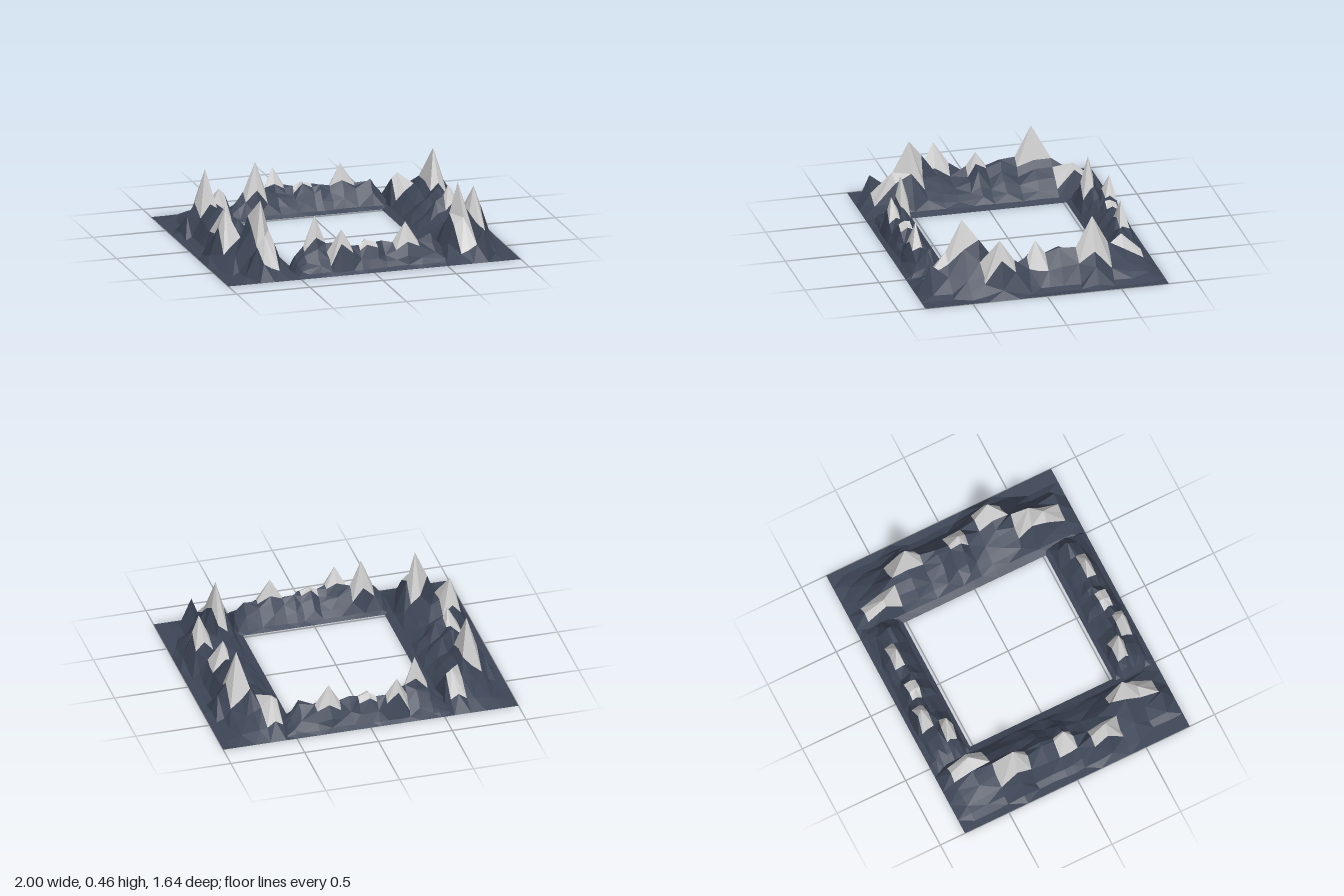
import * as THREE from 'three';

const rock = new THREE.MeshStandardMaterial({ color: 0x3e4657, flatShading: true, side: THREE.DoubleSide });
const pale = new THREE.MeshStandardMaterial({ color: 0xcccccc, flatShading: true, side: THREE.DoubleSide });

// Repeatable noise in -1..1 for a grid point
const noise = (i, j) => {
  const s = Math.sin(i * 12.99 + j * 78.23) * 43758.5;
  return (s - Math.floor(s)) * 2 - 1;
};

const nearest = (list, v) =>
  list.reduce((best, a, i) => (Math.abs(a - v) < Math.abs(list[best] - v) ? i : best), 0);

// Faceted range: each section is [along, centre, outer foot, crest, shoulder, capped].
// The crest falls to a shoulder, then to the foot on each side; flat aprons lie beyond.
// place() turns (across, height, along) into x, y, z; flip keeps faces pointing up.
function range(name, { across, inner, halfWidth, sections }, place, flip) {
  const na = across.length - 1, nl = sections.length - 1;
  const crestAt = sections.map(s => nearest(across, s[1]));
  const capped = (i, j) => sections[j][5] && crestAt[j] === i;

  const point = (i, j) => {
    const [along, centre, outer, crest, shoulder] = sections[j];
    const a = across[i];
    if (i === 0 || i === na || j === 0 || j === nl) return place(a, 0, along);
    if (i === crestAt[j]) return place(centre, crest, along);
    const d = Math.abs(a - centre);
    const reach = Math.abs((a < centre ? inner : outer) - centre);
    let y = 0;
    if (d <= halfWidth) {
      y = THREE.MathUtils.lerp(crest, shoulder, Math.min(1, d / (halfWidth * 0.85)));
    } else if (d < reach + 0.002) {
      y = THREE.MathUtils.lerp(shoulder, 0.02, (d - halfWidth) / (reach - halfWidth));
    }
    y *= 1 + 0.12 * noise(i, j);
    return place(a + 0.006 * noise(j + 5, i), y, along + 0.006 * noise(i + 9, j + 3));
  };

  const slopes = [], caps = [];
  for (let i = 0; i < na; i++) {
    for (let j = 0; j < nl; j++) {
      const corners = [[i, j], [i, j + 1], [i + 1, j + 1], [i + 1, j]];
      const top = corners.findIndex(c => capped(...c));
      // Split each cell from its peak corner so that summits stay sharp
      const s = top >= 0 ? top : (i + j) % 2;
      const [a, b, c, d] = [0, 1, 2, 3].map(k => point(...corners[(s + k) % 4]));
      const order = flip ? [a, c, b, a, d, c] : [a, b, c, a, c, d];
      for (const p of order) (top >= 0 ? caps : slopes).push(...p);
    }
  }

  const group = new THREE.Group();
  group.name = name;
  for (const [part, list, mat] of [['Slopes', slopes, rock], ['Caps', caps, pale]]) {
    const geo = new THREE.BufferGeometry();
    geo.setAttribute('position', new THREE.Float32BufferAttribute(list, 3));
    geo.computeVertexNormals();
    const mesh = new THREE.Mesh(geo, mat);
    mesh.name = name + part;
    group.add(mesh);
  }
  return group;
}

// Broad range along each side, from back to front
const side = {
  across: [0.48, 0.53, 0.57, 0.62, 0.68, 0.73, 0.78, 0.85, 0.9, 0.95, 1],
  inner: 0.53,
  halfWidth: 0.06,
  sections: [
    [-0.82, 0.62, 0.9, 0, 0, 0],
    [-0.73, 0.62, 0.9, 0.1, 0.07, 0],
    [-0.6, 0.61, 0.9, 0.22, 0.16, 1],
    [-0.48, 0.72, 0.9, 0.22, 0.16, 0],
    [-0.36, 0.78, 0.95, 0.44, 0.23, 1],
    [-0.25, 0.78, 0.9, 0.23, 0.16, 0],
    [-0.14, 0.76, 0.9, 0.23, 0.21, 0],
    [-0.05, 0.76, 0.9, 0.2, 0.16, 0],
    [0.02, 0.76, 0.9, 0.3, 0.2, 1],
    [0.08, 0.78, 0.92, 0.2, 0.15, 0],
    [0.18, 0.84, 0.95, 0.21, 0.15, 0],
    [0.28, 0.85, 0.96, 0.36, 0.21, 1],
    [0.39, 0.73, 0.95, 0.33, 0.2, 0],
    [0.49, 0.675, 0.92, 0.46, 0.25, 1],
    [0.6, 0.68, 0.85, 0.25, 0.18, 1],
    [0.73, 0.77, 0.85, 0.21, 0.08, 0],
    [0.82, 0.77, 0.85, 0, 0, 0],
  ],
};

// Narrow range across each end, from right to left
const end = {
  across: [0.52, 0.55, 0.585, 0.63, 0.66, 0.69, 0.73, 0.765, 0.79, 0.82],
  inner: 0.55,
  halfWidth: 0.045,
  sections: [
    [-0.52, 0.63, 0.79, 0, 0, 0],
    [-0.48, 0.63, 0.79, 0.11, 0.08, 0],
    [-0.43, 0.64, 0.79, 0.17, 0.13, 0],
    [-0.35, 0.63, 0.79, 0.37, 0.19, 1],
    [-0.28, 0.65, 0.79, 0.18, 0.14, 0],
    [-0.2, 0.735, 0.79, 0.29, 0.17, 1],
    [-0.13, 0.72, 0.79, 0.17, 0.14, 0],
    [-0.07, 0.7, 0.79, 0.16, 0.13, 0],
    [-0.02, 0.69, 0.79, 0.19, 0.16, 1],
    [0.05, 0.69, 0.79, 0.17, 0.14, 0],
    [0.1, 0.66, 0.79, 0.165, 0.12, 0],
    [0.17, 0.68, 0.79, 0.15, 0.12, 0],
    [0.25, 0.69, 0.79, 0.29, 0.17, 1],
    [0.34, 0.68, 0.79, 0.15, 0.13, 0],
    [0.44, 0.64, 0.79, 0.18, 0.13, 0],
    [0.5, 0.66, 0.79, 0.1, 0.07, 0],
    [0.52, 0.66, 0.79, 0, 0, 0],
  ],
};

// The back range spreads wider at its two ends
const flare = x => (Math.abs(x) > 0.51 ? x * 1.11 : x);

export function createModel() {
  const model = new THREE.Group();
  model.name = 'mountainRing';
  model.add(
    range('leftRange', side, (a, y, l) => [a, y, l], false),
    range('rightRange', side, (a, y, l) => [-a, y, l], true),
    range('frontRange', end, (a, y, l) => [l, y, a], true),
    range('backRange', end, (a, y, l) => [flare(l), y, -a], false),
  );
  return model;
}
